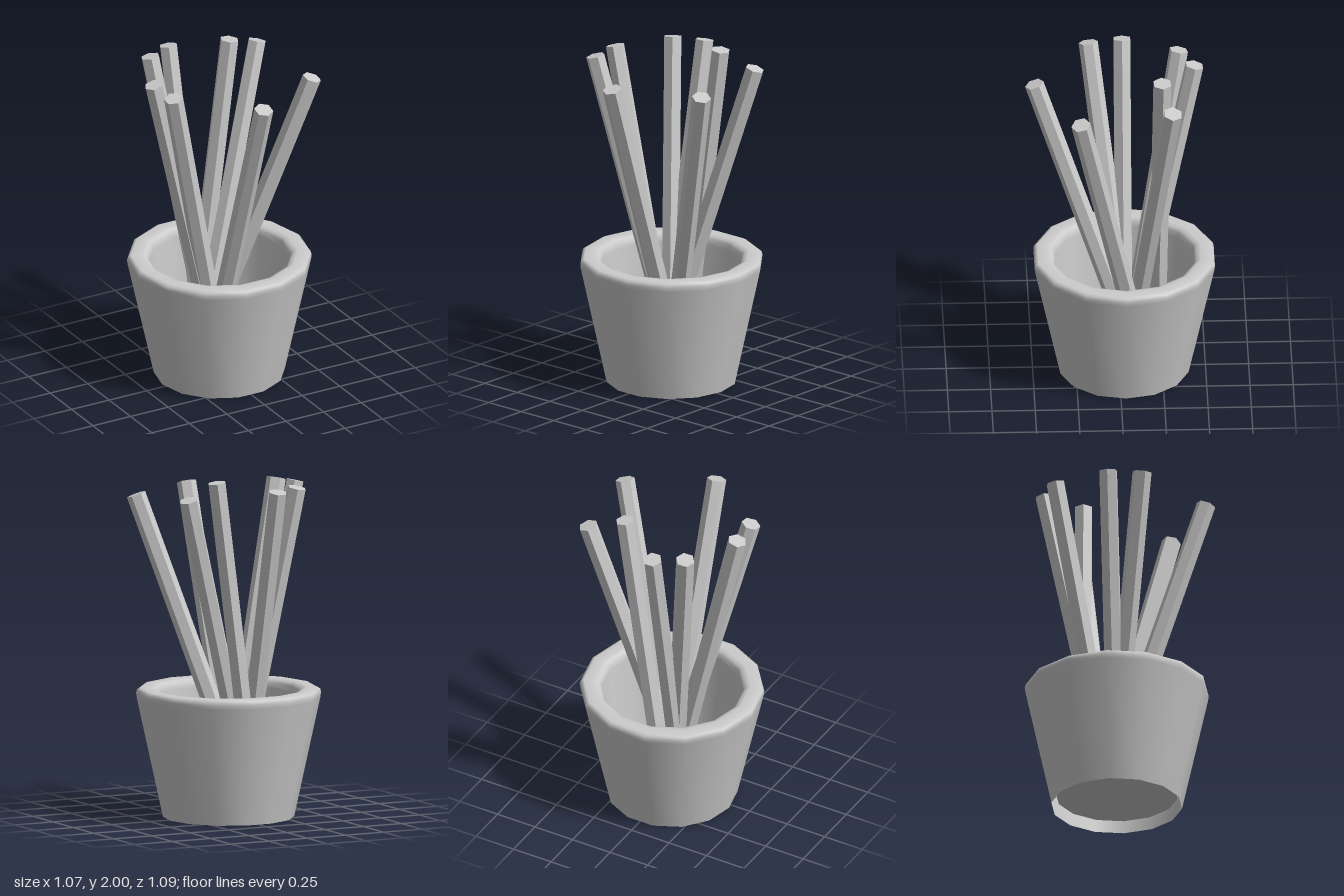
import * as THREE from 'three';

const SIDES = 14;
const POT_Z = -0.03;
const FLOOR_Y = 0.065;

// Each stick: centre of the foot [x, z], centre of the tip [x, y, z], roll about its axis
const STICKS = [
  { foot: [-0.08, -0.06], tip: [-0.105, 1.94, -0.44], roll: Math.PI / 6 },
  { foot: [-0.03, -0.05], tip: [-0.275, 1.945, -0.355], roll: 0 },
  { foot: [-0.01, -0.03], tip: [-0.435, 1.935, -0.03], roll: 0 },
  { foot: [0.02, -0.06], tip: [-0.415, 1.925, 0.165], roll: 0 },
  { foot: [-0.01, -0.1], tip: [0, 1.89, 0.49], roll: 0 },
  { foot: [-0.08, -0.13], tip: [0.465, 1.88, 0.235], roll: 0.15 },
  { foot: [-0.12, -0.07], tip: [0.405, 1.91, -0.3], roll: -0.43 },
  { foot: [-0.07, -0.22], tip: [0.19, 1.99, -0.245], roll: 0 },
];

function makeStick({ foot, tip, roll }, material) {
  const start = new THREE.Vector3(foot[0], FLOOR_Y + 0.015, foot[1]);
  const end = new THREE.Vector3(...tip);
  const axis = end.clone().sub(start);
  const geometry = new THREE.CylinderGeometry(0.056, 0.056, axis.length(), 6);
  // Turn one corner towards the lean, then lean the stick
  geometry.rotateY(Math.atan2(axis.x, axis.z) + roll);
  const stick = new THREE.Mesh(geometry, material);
  stick.quaternion.setFromUnitVectors(new THREE.Vector3(0, 1, 0), axis.normalize());
  stick.position.copy(start).add(end).multiplyScalar(0.5);
  return stick;
}

export function createModel() {
  const model = new THREE.Group();
  model.name = 'potOfSticks';
  const smooth = new THREE.MeshStandardMaterial({ color: 0xcccccc, side: THREE.DoubleSide });
  const faceted = new THREE.MeshStandardMaterial({ color: 0xcccccc, flatShading: true });

  // Pot: outer wall, rounded rim and inner wall, open underneath
  const pot = new THREE.Group();
  pot.name = 'pot';
  pot.position.z = POT_Z;
  const profile = [
    [0.38, 0], [0.532, 0.7], [0.535, 0.725], [0.53, 0.745], [0.512, 0.755],
    [0.455, 0.755], [0.43, 0.748], [0.415, 0.73], [0.41, 0.7], [0.355, FLOOR_Y],
  ].map(([r, y]) => new THREE.Vector2(r, y));
  const wall = new THREE.Mesh(new THREE.LatheGeometry(profile, SIDES, Math.PI / 2), smooth);
  wall.name = 'potWall';

  // Floor disc, raised above the foot of the wall
  const floor = new THREE.Mesh(new THREE.CircleGeometry(0.355, SIDES).rotateX(-Math.PI / 2), smooth);
  floor.name = 'potFloor';
  floor.position.y = FLOOR_Y;
  pot.add(wall, floor);

  // Bundle of leaning hexagonal sticks
  const sticks = new THREE.Group();
  sticks.name = 'sticks';
  STICKS.forEach((spec, i) => {
    const stick = makeStick(spec, faceted);
    stick.name = `stick${i + 1}`;
    sticks.add(stick);
  });

  model.add(pot, sticks);
  return model;
}
